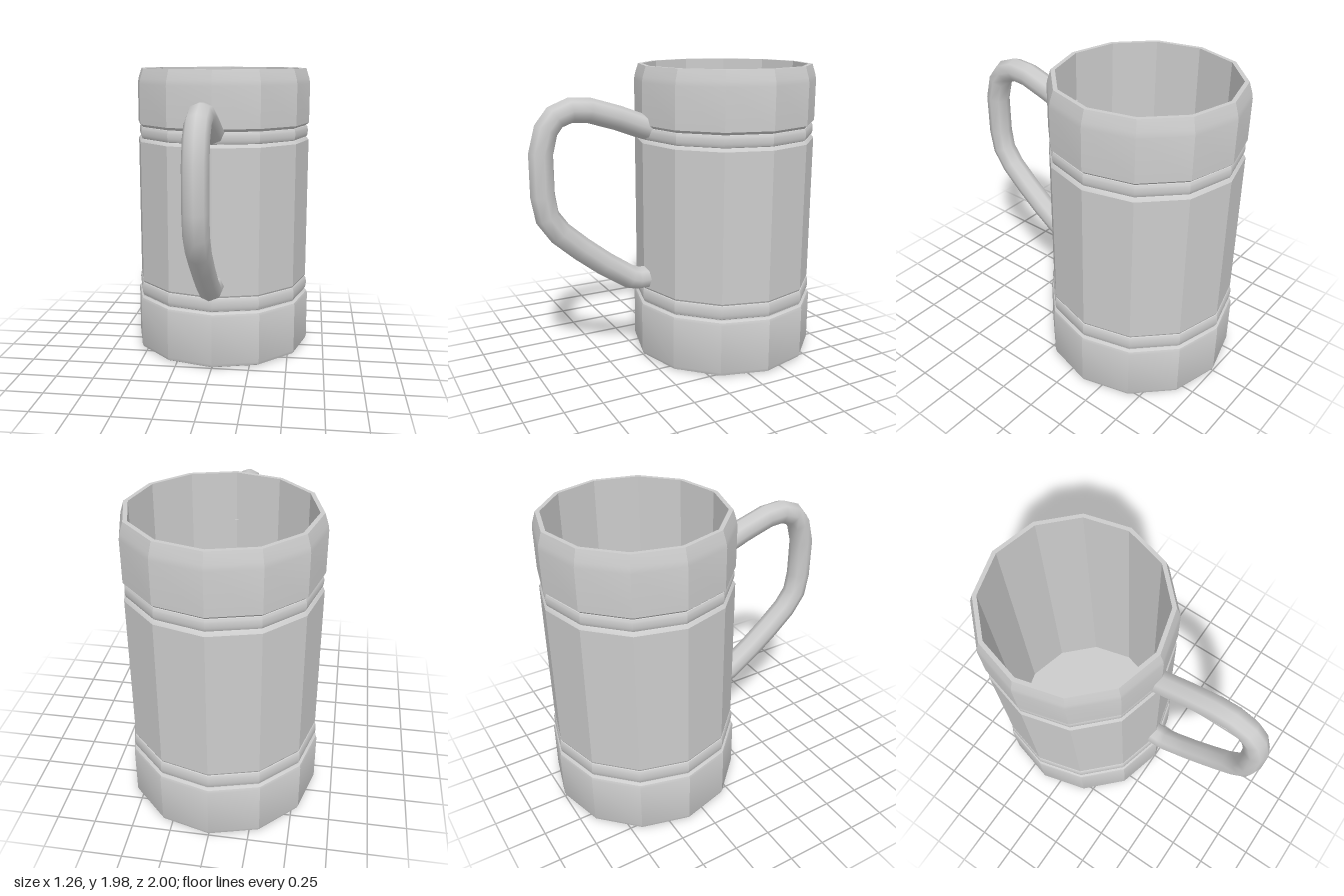
import * as THREE from 'three';
import { toCreasedNormals } from 'three/addons/utils/BufferGeometryUtils.js';

const SIDES = 12;
const CENTRE_Z = -0.373;

// Rounded raised ring in the profile, from y0 up to y1
function band(y0, y1, rEdge, rBulge) {
  const steps = 8;
  return Array.from({ length: steps + 1 }, (_, i) => {
    const a = (i / steps) * Math.PI;
    return [rEdge + (rBulge - rEdge) * Math.sin(a), (y0 + y1) / 2 - ((y1 - y0) / 2) * Math.cos(a)];
  });
}

export function createModel() {
  const group = new THREE.Group();
  const material = new THREE.MeshStandardMaterial({ color: 0xcccccc });

  // Mug: one faceted profile from the underside, up the outside and down the inside
  const profile = [
    // recessed underside
    [0, 0.04], [0.52, 0.04], [0.605, 0],
    // thick foot
    [0.62, 0.008], [0.628, 0.03], [0.628, 0.36], [0.622, 0.378], [0.605, 0.39],
    // lower ring
    ...band(0.395, 0.49, 0.604, 0.618),
    // straight wall
    [0.61, 0.502], [0.61, 1.49], [0.596, 1.508],
    // upper ring
    ...band(1.512, 1.592, 0.59, 0.603),
    // collar and rim
    [0.598, 1.6], [0.61, 1.61], [0.61, 1.88], [0.604, 1.915], [0.582, 1.983], [0.555, 1.983],
    // inside wall and floor
    [0.555, 0.1], [0, 0.1],
  ].map(([r, y]) => new THREE.Vector2(r, y));
  const mugGeometry = toCreasedNormals(new THREE.LatheGeometry(profile, SIDES), THREE.MathUtils.degToRad(25));
  const mug = new THREE.Mesh(mugGeometry, material);
  mug.name = 'mugBody';
  mug.position.z = CENTRE_Z;
  group.add(mug);

  // Handle: eight-sided tube with one ring of vertices at each path point [z, y]
  const path = [
    [0.2, 1.59], [0.26, 1.61], [0.41, 1.667], [0.6, 1.725], [0.72, 1.733], [0.82, 1.695],
    [0.88, 1.62], [0.919, 1.475], [0.919, 1.215], [0.895, 1.075], [0.815, 0.96],
    [0.675, 0.835], [0.52, 0.712], [0.34, 0.59], [0.28, 0.573], [0.2, 0.573],
  ].map(([z, y]) => new THREE.Vector3(0, y, z));
  const curve = new THREE.CatmullRomCurve3(path);
  curve.getPointAt = curve.getPoint;
  curve.getTangentAt = curve.getTangent;
  const handle = new THREE.Mesh(new THREE.TubeGeometry(curve, path.length - 1, 0.079, 8), material);
  handle.name = 'handle';
  group.add(handle);

  return group;
}
